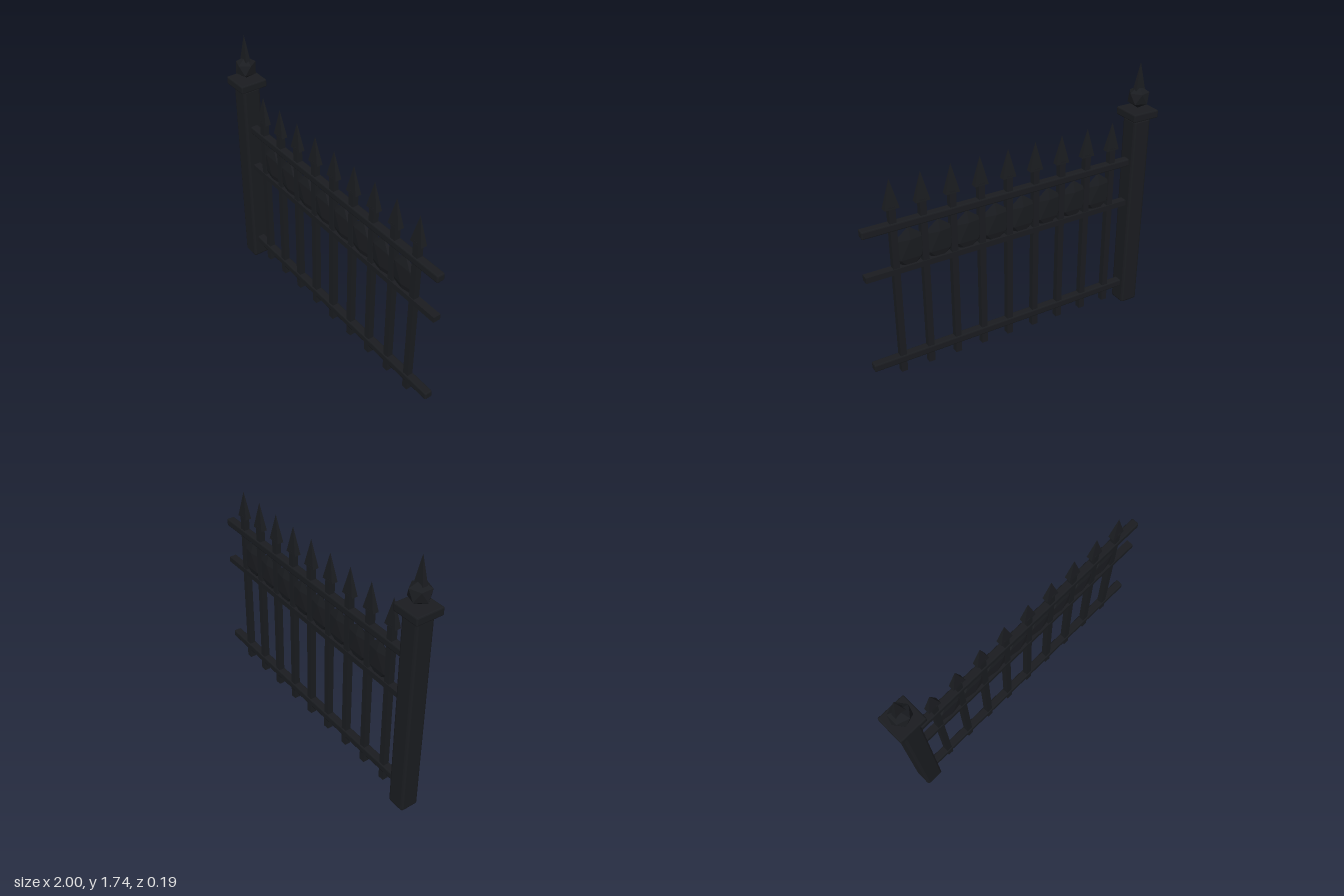
import * as THREE from 'three';
import { RoundedBoxGeometry } from 'three/addons/geometries/RoundedBoxGeometry.js';

const iron = new THREE.MeshStandardMaterial({ color: 0x1a1c20, flatShading: true });

export function createModel() {
  const model = new THREE.Group();
  model.name = 'fenceSection';

  function add(name, geometry, x, y, parent = model) {
    const mesh = new THREE.Mesh(geometry, iron);
    mesh.name = name;
    mesh.position.set(x, y, 0);
    parent.add(mesh);
    return mesh;
  }

  // Box with chamfered edges
  const chamferBox = (w, h, d, r) => new RoundedBoxGeometry(w, h, d, 1, r);

  // Rectangular pyramid standing on y = 0
  const pyramid = (w, h, d) =>
    new THREE.ConeGeometry(Math.SQRT1_2, 1, 4)
      .rotateY(Math.PI / 4).translate(0, 0.5, 0).scale(w, h, d);

  // Icosahedron with one corner pointing straight up
  const gem = () => new THREE.IcosahedronGeometry(1, 0)
    .rotateZ(-Math.atan(2 / (1 + Math.sqrt(5))));

  // Post with cap and finial
  const post = new THREE.Group();
  post.name = 'post';
  post.position.x = -0.906;
  model.add(post);
  add('postShaft', chamferBox(0.124, 1.38, 0.124, 0.015), 0, 0.69, post);
  add('postCap', chamferBox(0.187, 0.053, 0.187, 0.008), 0, 1.413, post);
  add('finialBall', gem().scale(0.074, 0.074, 0.074), 0, 1.516, post);
  add('finialSpike', pyramid(0.072, 0.185, 0.036), 0, 1.556, post);

  // Rails running from the post to the free end
  const railStart = -0.87, railEnd = 1;
  const railLength = railEnd - railStart, railX = (railStart + railEnd) / 2;
  add('topRail', chamferBox(railLength, 0.05, 0.054, 0.008), railX, 1.082);
  add('bottomRail', chamferBox(railLength, 0.05, 0.054, 0.008), railX, 0.149);
  add('middleRail', new THREE.BoxGeometry(railLength, 0.037, 0.05), railX, 0.787);

  // Pickets with spearheads, and a faceted ornament in each gap
  const count = 9, firstX = -0.715, spacing = 0.19;
  const barGeometry = new THREE.BoxGeometry(0.041, 1.16, 0.04);
  const spearGeometry = pyramid(0.092, 0.185, 0.042);
  const ornamentGeometry = gem().rotateY(Math.PI / 2).scale(0.122, 0.142, 0.026);
  for (let i = 0; i < count; i++) {
    const x = firstX + i * spacing;
    add('picketBar', barGeometry, x, 0.632);
    add('picketSpearhead', spearGeometry, x, 1.196);
    if (i < count - 1) add('ornament', ornamentGeometry, x + spacing / 2, 0.909);
  }

  return model;
}
